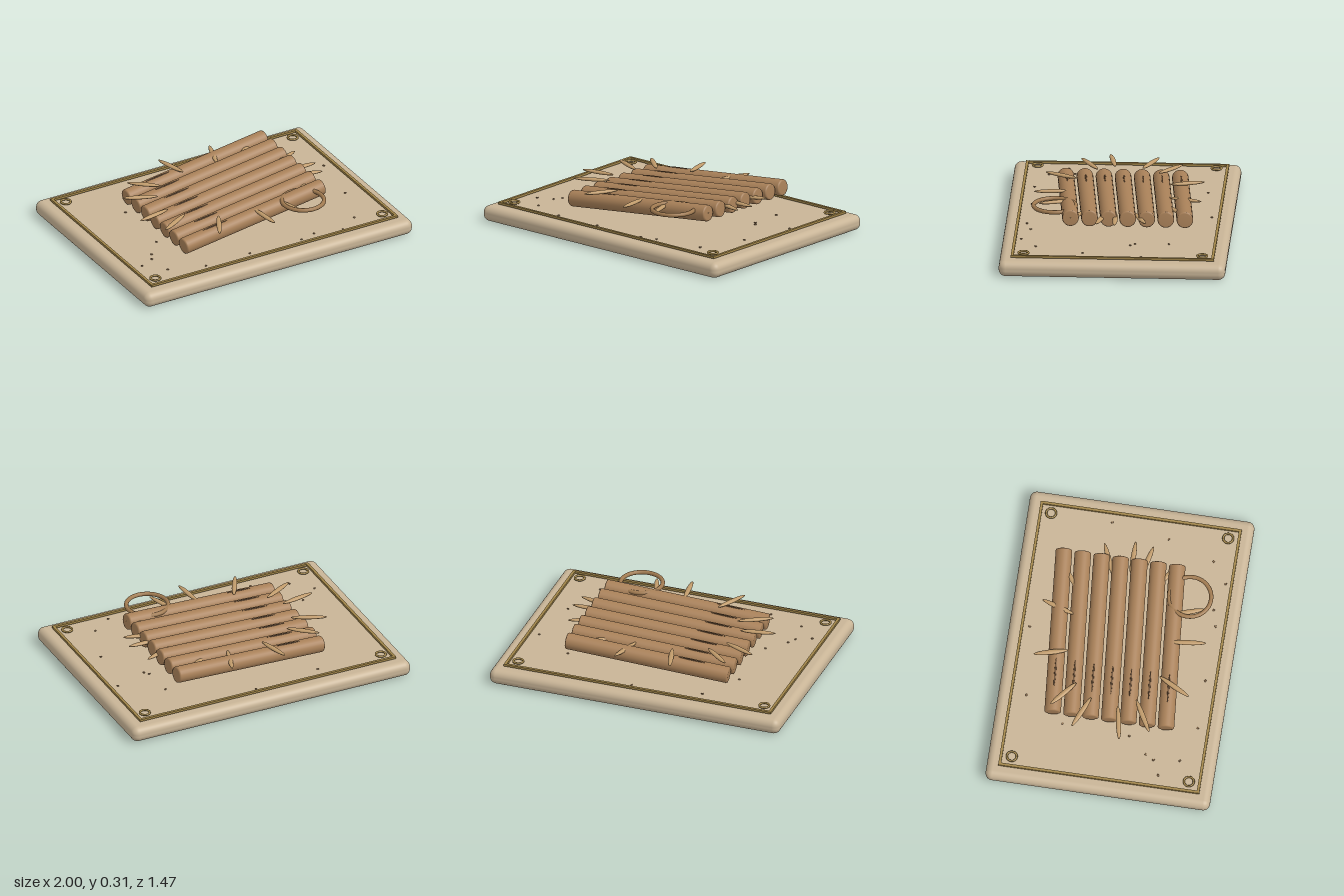
import * as THREE from 'three';
import { RoundedBoxGeometry } from 'three/addons/geometries/RoundedBoxGeometry.js';

const paint = (name, color) => {
  const m = new THREE.MeshStandardMaterial({ color });
  m.name = name;
  return m;
};

export function createModel() {
  const root = new THREE.Group();
  root.name = 'logRaftOnBoard';

  const sand = paint('sand', 0xc8b496);
  const brass = paint('brass', 0xa08448);
  const bark = paint('bark', 0xa88058);
  const straw = paint('straw', 0xbf9a6a);
  const rope = paint('rope', 0xa07a50);
  const crumbBrown = paint('crumbBrown', 0x8a6a48);
  const groove = paint('groove', 0x6e5034);

  const add = (parent, name, geometry, material, x = 0, y = 0, z = 0) => {
    const mesh = new THREE.Mesh(geometry, material);
    mesh.name = name;
    mesh.position.set(x, y, z);
    parent.add(mesh);
    return mesh;
  };
  const group = (name) => {
    const g = new THREE.Group();
    g.name = name;
    root.add(g);
    return g;
  };

  // Rounded board
  add(root, 'board', new RoundedBoxGeometry(2, 0.104, 1.47, 5, 0.045), sand, 0, 0.052, 0);

  // Thin border frame just above the board
  const frame = group('borderFrame');
  for (const s of [-1, 1]) {
    add(frame, 'longRail', new THREE.BoxGeometry(1.84, 0.015, 0.018), brass, 0, 0.119, s * 0.65);
    add(frame, 'shortRail', new THREE.BoxGeometry(0.018, 0.015, 1.282), brass, s * 0.912, 0.119, 0);
  }

  // Corner rings
  const cornerRing = new THREE.TorusGeometry(0.032, 0.007, 10, 32).rotateX(Math.PI / 2);
  for (const x of [-0.848, 0.848])
    for (const z of [-0.58, 0.58]) add(frame, 'cornerRing', cornerRing, brass, x, 0.122, z);

  // Seven tilted logs with softly rounded end edges
  const from = new THREE.Vector3(-0.525, 0.168, 0);
  const to = new THREE.Vector3(0.562, 0.262, -0.09);
  const span = to.clone().sub(from);
  const h = span.length() / 2;
  const r = 0.054;
  const profile = [
    [0, -h], [r * 0.8, -h], [r * 0.95, -h + 0.003], [r, -h + 0.01],
    [r, h - 0.01], [r * 0.95, h - 0.003], [r * 0.8, h], [0, h],
  ].map(([x, y]) => new THREE.Vector2(x, y));
  const logGeometry = new THREE.LatheGeometry(profile, 28);
  const turn = new THREE.Quaternion().setFromUnitVectors(new THREE.Vector3(0, 1, 0), span.clone().normalize());
  const mid = from.clone().add(to).multiplyScalar(0.5);
  const logs = group('logs');
  const grooveGeometry = new THREE.SphereGeometry(1, 14, 8).scale(0.095, 0.004, 0.006);
  for (let i = 0; i < 7; i++) {
    const z = -0.362 + i * 0.1237;
    const log = add(logs, 'log', logGeometry, bark, mid.x, mid.y, mid.z + z);
    log.quaternion.copy(turn);
    // Dark bark groove on the upper side
    const mark = add(logs, 'barkGroove', grooveGeometry, groove, -0.275, 0.244, z - 0.021);
    mark.rotation.set(0, 0.07, 0.085);
  }

  // Straw spikes radiating round the logs: outer x, z then inner x, z
  const spikes = group('strawSpikes');
  const spikeGeometry = new THREE.SphereGeometry(1, 20, 12);
  const ends = [
    [-0.18, -0.54, -0.12, -0.32], [0.2, -0.54, 0.13, -0.32], [0.45, -0.44, 0.28, -0.3],
    [-0.505, -0.38, -0.335, -0.235], [-0.635, -0.22, -0.42, -0.125], [-0.68, 0.097, -0.45, 0.055],
    [-0.6, 0.282, -0.39, 0.165], [-0.32, 0.5, -0.21, 0.29], [0.06, 0.555, 0.035, 0.325],
    [0.29, 0.51, 0.22, 0.3], [0.645, -0.2, 0.43, -0.11], [0.685, 0, 0.46, 0],
    [0.668, 0.12, 0.45, 0.065], [0.565, 0.295, 0.4, 0.18],
  ];
  for (const [x1, z1, x2, z2] of ends) {
    const spike = add(spikes, 'strawSpike', spikeGeometry, straw, (x1 + x2) / 2, 0.263, (z1 + z2) / 2);
    spike.scale.set(Math.hypot(x2 - x1, z2 - z1) / 2, 0.012, 0.017);
    spike.rotation.y = -Math.atan2(z2 - z1, x2 - x1);
  }

  // Loop of rope lying over the front log
  const loop = new THREE.TorusGeometry(0.137, 0.014, 12, 48).rotateX(Math.PI / 2);
  add(root, 'ropeLoop', loop, rope, 0.357, 0.276, 0.405);

  // Crumbs scattered on the board
  const crumbs = group('crumbs');
  const crumbGeometry = new THREE.SphereGeometry(1, 8, 6).scale(0.009, 0.005, 0.007);
  const spots = [
    [-0.41, -0.55], [0.06, -0.6], [-0.57, -0.29], [0.59, -0.35], [0.85, -0.18], [0.6, -0.13],
    [0.625, -0.1], [0.79, 0.2], [0.68, 0.51], [0.54, 0.61], [0.24, 0.59], [0.35, 0.56], [-0.14, 0.58],
    [-0.47, 0.58], [-0.71, 0.5], [-0.83, 0.375], [-0.73, 0.33], [-0.7, 0.275], [-0.59, 0.15],
  ];
  spots.forEach(([x, z], i) => {
    add(crumbs, 'crumb', crumbGeometry, crumbBrown, x, 0.107, z).rotation.y = i * 1.3;
  });

  return root;
}
